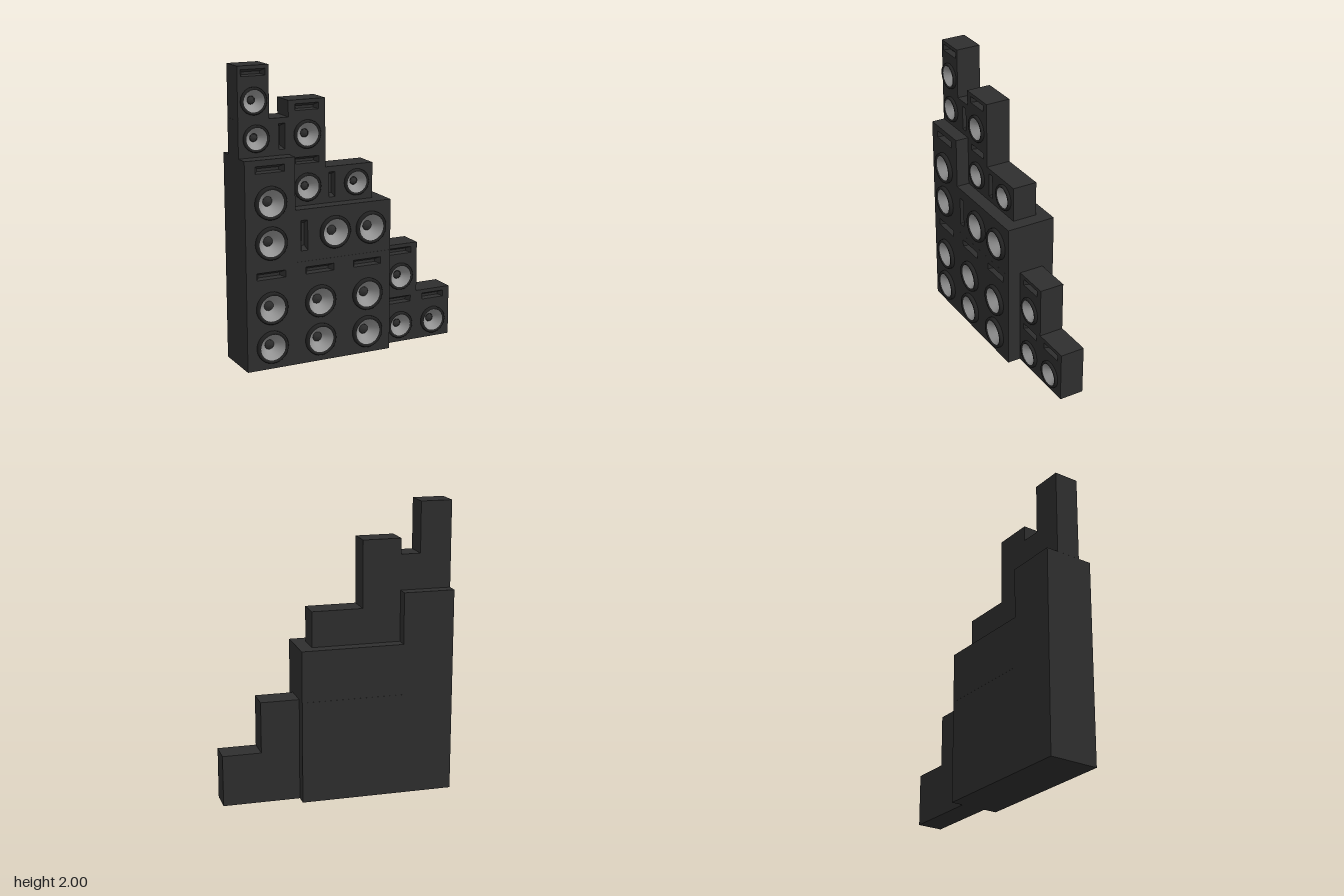
import * as THREE from 'three';

const mat = (name, color) => {
  const m = new THREE.MeshStandardMaterial({ color });
  m.name = name;
  return m;
};

export function createModel() {
  const body = mat('cabinet black', 0x2e2e2e);
  const rubber = mat('rim black', 0x222222);
  const paper = mat('cone grey', 0x939393);

  const add = (parent, name, geo, material) => {
    const mesh = new THREE.Mesh(geo, material);
    mesh.name = name;
    parent.add(mesh);
    return mesh;
  };

  // Two cabinet families: depth range, driver heights, port size
  const LARGE = { back: -0.188, front: 0.16, panel: 0.08, drivers: [-0.2, 0.067], r: 0.11, rim: 0.027,
    port: 0.288, portW: 0.205, portH: 0.048, segs: 32, capSegs: 10 };
  const SMALL = { back: -0.105, front: 0.068, panel: 0.07, drivers: [-0.053], r: 0.095, rim: 0.02,
    port: 0.128, portW: 0.17, portH: 0.044, segs: 20, capSegs: 6 };

  const lathe = (pts, segs) =>
    new THREE.LatheGeometry(pts.map(([r, y]) => new THREE.Vector2(r, y)), segs).rotateX(Math.PI / 2);

  // Driver: raised rim, recessed cone, domed cap
  function driver(r, k) {
    const g = new THREE.Group();
    g.name = 'driver';
    const t = k.rim, deep = -0.45 * r;
    add(g, 'rim', lathe([[r, 0], [r, t * 0.7], [r * 0.95, t], [r * 0.86, t], [r * 0.8, t * 0.7]], k.segs), rubber);
    add(g, 'cone', lathe([[r * 0.8, t * 0.7], [r * 0.3, deep]], k.segs), paper);
    add(g, 'cap', lathe([[r * 0.31, deep], [r * 0.2, deep + r * 0.1], [0, deep + r * 0.14]], k.capSegs), body);
    return g;
  }

  // Port: tapered recess, sloping mostly from its upper edge
  function portGeometry(w, h) {
    const x = w / 2, y = h / 2, d = -0.04;
    const f = [[-x, -y, 0], [x, -y, 0], [x, y, 0], [-x, y, 0]];
    const b = [[-x * 0.75, -y * 0.7, d], [x * 0.75, -y * 0.7, d], [x * 0.75, y * 0.1, d], [-x * 0.75, y * 0.1, d]];
    const pos = [];
    const quad = (p, q, r, s) => pos.push(...p, ...q, ...r, ...p, ...r, ...s);
    for (let i = 0; i < 4; i++) {
      const j = (i + 1) % 4;
      quad(f[i], f[j], b[j], b[i]);
    }
    quad(...b);
    const geo = new THREE.BufferGeometry();
    geo.setAttribute('position', new THREE.Float32BufferAttribute(pos, 3));
    geo.computeVertexNormals();
    return geo;
  }

  function rect(target, x, y, w, h) {
    target.moveTo(x - w / 2, y - h / 2);
    target.lineTo(x + w / 2, y - h / 2);
    target.lineTo(x + w / 2, y + h / 2);
    target.lineTo(x - w / 2, y + h / 2);
    target.closePath();
    return target;
  }

  // Cabinet: pierced front panel, solid back, drivers and port
  function cabinet(k, w, h, r) {
    const g = new THREE.Group();
    const shape = rect(new THREE.Shape(), 0, 0, w, h);
    for (const y of k.drivers) {
      shape.holes.push(new THREE.Path().absarc(0, y, r * 0.88, 0, Math.PI * 2, true));
      const d = driver(r, k);
      d.position.set(0, y, k.front);
      g.add(d);
    }
    shape.holes.push(rect(new THREE.Path(), 0, k.port, k.portW, k.portH));
    const panel = new THREE.ExtrudeGeometry(shape, { depth: k.panel, bevelEnabled: false, curveSegments: 20 });
    add(g, 'frontPanel', panel, body).position.z = k.front - k.panel;
    const depth = k.front - k.panel - k.back;
    add(g, 'cabinetBack', new THREE.BoxGeometry(w, h, depth), body).position.z = k.back + depth / 2;
    add(g, 'port', portGeometry(k.portW, k.portH), body).position.set(0, k.port, k.front);
    return g;
  }

  const root = new THREE.Group();
  root.name = 'speakerStack';
  const place = (name, k, x, y, w, h, turn = 0, r = k.r) => {
    const c = cabinet(k, w, h, r);
    c.name = name;
    c.position.set(x, y, 0);
    c.rotation.z = turn * Math.PI / 2;
    root.add(c);
  };

  // Large cabinets: a row of three, one upright and one on its side
  for (let i = 0; i < 3; i++) place('largeCabinet', LARGE, -0.615 + i * 0.351, 0.352, 0.351, 0.704);
  place('largeCabinet', LARGE, -0.615, 1.056, 0.351, 0.704);
  place('largeCabinetOnSide', LARGE, -0.088, 0.88, 0.351, 0.703, 1);

  // Small cabinets: right-hand steps
  for (const [x, y] of [[0.394, 0.176], [0.394, 0.528], [0.658, 0.176], [-0.309, 1.232], [-0.309, 1.584]])
    place('smallCabinet', SMALL, x, y, 0.264, 0.352);

  // Narrow cabinets: upper steps and the top of the stack
  place('narrowCabinetOnSide', SMALL, -0.002, 1.178, 0.244, 0.35, 1, 0.09);
  place('narrowCabinetOnSide', SMALL, -0.616, 1.53, 0.244, 0.35, -1, 0.09);
  place('narrowCabinet', SMALL, -0.683, 1.826, 0.215, 0.348, 0, 0.09);

  return root;
}
